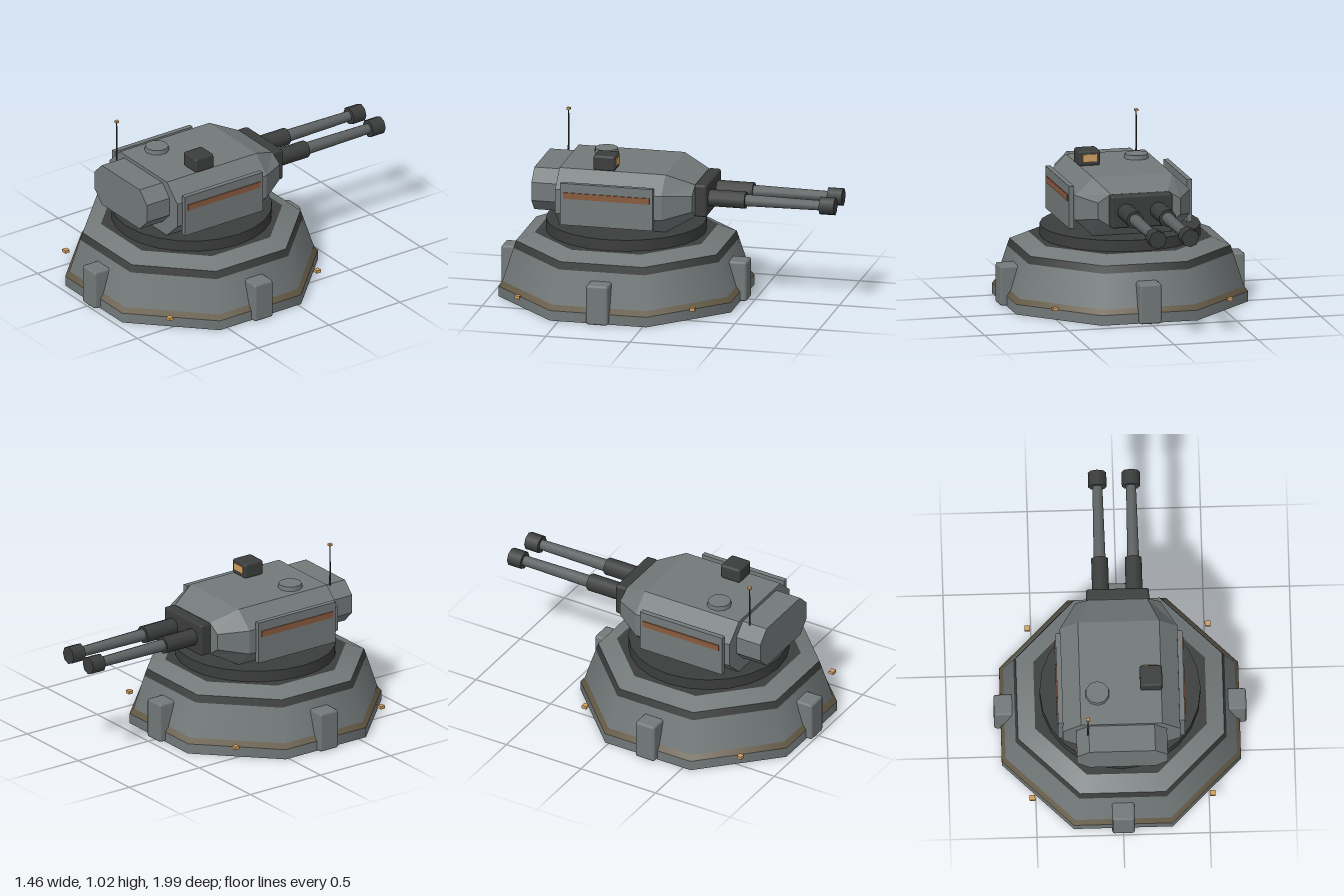
import * as THREE from 'three';
import { RoundedBoxGeometry } from 'three/addons/geometries/RoundedBoxGeometry.js';

const CZ = 0.265; // centre of the base in z

export function createModel() {
  const model = new THREE.Group();
  model.name = 'gunTurret';

  const paint = (name, color) => {
    const m = new THREE.MeshStandardMaterial({ color });
    m.name = name;
    return m;
  };
  const hull = paint('hullGrey', 0x737979);
  const dark = paint('darkMetal', 0x3c3d3d);
  const steel = paint('barrelSteel', 0x5f6363);
  const olive = paint('oliveTrim', 0x625844);
  const rust = paint('rustStripe', 0x8a5a3e);
  const amber = paint('amberLight', 0xd2a062);

  const add = (name, geo, mat, x = 0, y = 0, z = 0, parent = model) => {
    const mesh = new THREE.Mesh(geo, mat);
    mesh.name = name;
    mesh.position.set(x, y, z);
    parent.add(mesh);
    return mesh;
  };
  const box = (w, h, d) => new THREE.BoxGeometry(w, h, d);
  const rounded = (w, h, d, r) => new RoundedBoxGeometry(w, h, d, 1, r);

  // Octagonal base tiers: name, bottom y, top y, bottom and top apothem, material
  const K = 1 / Math.cos(Math.PI / 8);
  const tier = (name, y0, y1, a0, a1, mat) => {
    const g = new THREE.CylinderGeometry(a1 * K, a0 * K, y1 - y0, 8, 1, true);
    g.rotateY(Math.PI / 8);
    add(name, g, mat, 0, (y0 + y1) / 2, CZ);
  };
  tier('baseSkirt', 0, 0.06, 0.69, 0.69, hull);
  tier('baseTrim', 0.06, 0.09, 0.69, 0.668, olive);
  tier('baseWall', 0.09, 0.287, 0.668, 0.609, hull);
  tier('baseDarkBand', 0.287, 0.33, 0.609, 0.595, dark);
  tier('baseShoulder', 0.33, 0.375, 0.595, 0.495, hull);
  const octagon = (name, apothem, y, tilt) => {
    const g = new THREE.CircleGeometry(apothem * K, 8);
    g.rotateZ(Math.PI / 8);
    g.rotateX(tilt);
    add(name, g, dark, 0, y, CZ);
  };
  octagon('baseFloor', 0.69, 0, Math.PI / 2);
  octagon('baseDeck', 0.495, 0.375, -Math.PI / 2);

  // Four buttresses and four corner lights around the base
  for (let i = 0; i < 4; i++) {
    const a = (i * Math.PI) / 2;
    const foot = add('buttress', rounded(0.13, 0.236, 0.125, 0.014), hull,
      Math.sin(a) * 0.666, 0.119, CZ + Math.cos(a) * 0.666);
    foot.rotation.y = a;
    const sx = i % 2 ? 1 : -1, sz = i < 2 ? 1 : -1;
    add('cornerLight', box(0.032, 0.018, 0.03), amber, sx * 0.52, 0.076, CZ + sz * 0.52);
  }

  // Rotating ring
  add('turretRing', new THREE.CylinderGeometry(0.465, 0.465, 0.068, 24), dark, 0, 0.407, CZ);

  // Chamfered octagonal section: half width, half top, y levels
  const section = (z, w, t, y0, y1, y2, y3) => [
    [w, y1, z], [w, y2, z], [t, y3, z], [-t, y3, z],
    [-w, y2, z], [-w, y1, z], [-t, y0, z], [t, y0, z],
  ];
  // Joins sections ordered from -z to +z and closes both ends
  const loft = (sections) => {
    const pos = [];
    const tri = (...p) => p.forEach((v) => pos.push(...v));
    for (let s = 0; s + 1 < sections.length; s++) {
      for (let i = 0; i < 8; i++) {
        const j = (i + 1) % 8, lo = sections[s], hi = sections[s + 1];
        tri(lo[i], lo[j], hi[i]);
        tri(lo[j], hi[j], hi[i]);
      }
    }
    const first = sections[0], last = sections[sections.length - 1];
    for (let i = 1; i < 7; i++) {
      tri(first[0], first[i + 1], first[i]);
      tri(last[0], last[i], last[i + 1]);
    }
    const g = new THREE.BufferGeometry();
    g.setAttribute('position', new THREE.Float32BufferAttribute(pos, 3));
    g.computeVertexNormals();
    return g;
  };

  const turret = new THREE.Group();
  turret.name = 'turret';
  model.add(turret);
  const part = (name, geo, mat, x, y, z) => add(name, geo, mat, x, y, z, turret);

  part('turretBody', loft([
    section(-0.185, 0.245, 0.17, 0.525, 0.575, 0.67, 0.718),
    section(-0.025, 0.34, 0.235, 0.44, 0.54, 0.685, 0.785),
    section(0.605, 0.34, 0.235, 0.44, 0.54, 0.685, 0.785),
  ]), hull);
  part('rearPod', loft([
    section(0.59, 0.262, 0.19, 0.51, 0.583, 0.692, 0.763),
    section(0.765, 0.262, 0.19, 0.51, 0.583, 0.692, 0.763),
  ]), hull);

  // Side armour with stripe, and the twin guns
  for (const s of [-1, 1]) {
    part('sidePlate', box(0.03, 0.25, 0.55), hull, s * 0.351, 0.606, 0.295);
    part('sideStripe', box(0.008, 0.036, 0.51), rust, s * 0.368, 0.659, 0.295);

    const tube = (name, r0, r1, z0, z1, sides, mat) => {
      const g = new THREE.CylinderGeometry(r1, r0, z0 - z1, sides);
      g.rotateX(-Math.PI / 2);
      part(name, g, mat, s * 0.097, 0.624, (z0 + z1) / 2);
    };
    tube('barrelSleeve', 0.051, 0.051, -0.24, -0.47, 10, dark);
    tube('barrel', 0.036, 0.03, -0.46, -0.92, 10, steel);
    tube('muzzle', 0.053, 0.053, -0.912, -1, 8, dark);
  }
  part('mantlet', rounded(0.365, 0.192, 0.075, 0.014), dark, 0, 0.624, -0.218);

  // Roof fittings
  part('hatch', new THREE.CylinderGeometry(0.068, 0.072, 0.03, 10), hull, -0.135, 0.796, 0.415);
  part('sight', rounded(0.13, 0.09, 0.13, 0.014), dark, 0.177, 0.828, 0.34);
  part('sightLens', box(0.085, 0.042, 0.008), amber, 0.177, 0.832, 0.273);
  part('antenna', new THREE.CylinderGeometry(0.003, 0.006, 0.25, 6), dark, -0.196, 0.882, 0.655);
  part('antennaTip', box(0.02, 0.013, 0.02), amber, -0.196, 1.011, 0.655);

  return model;
}
